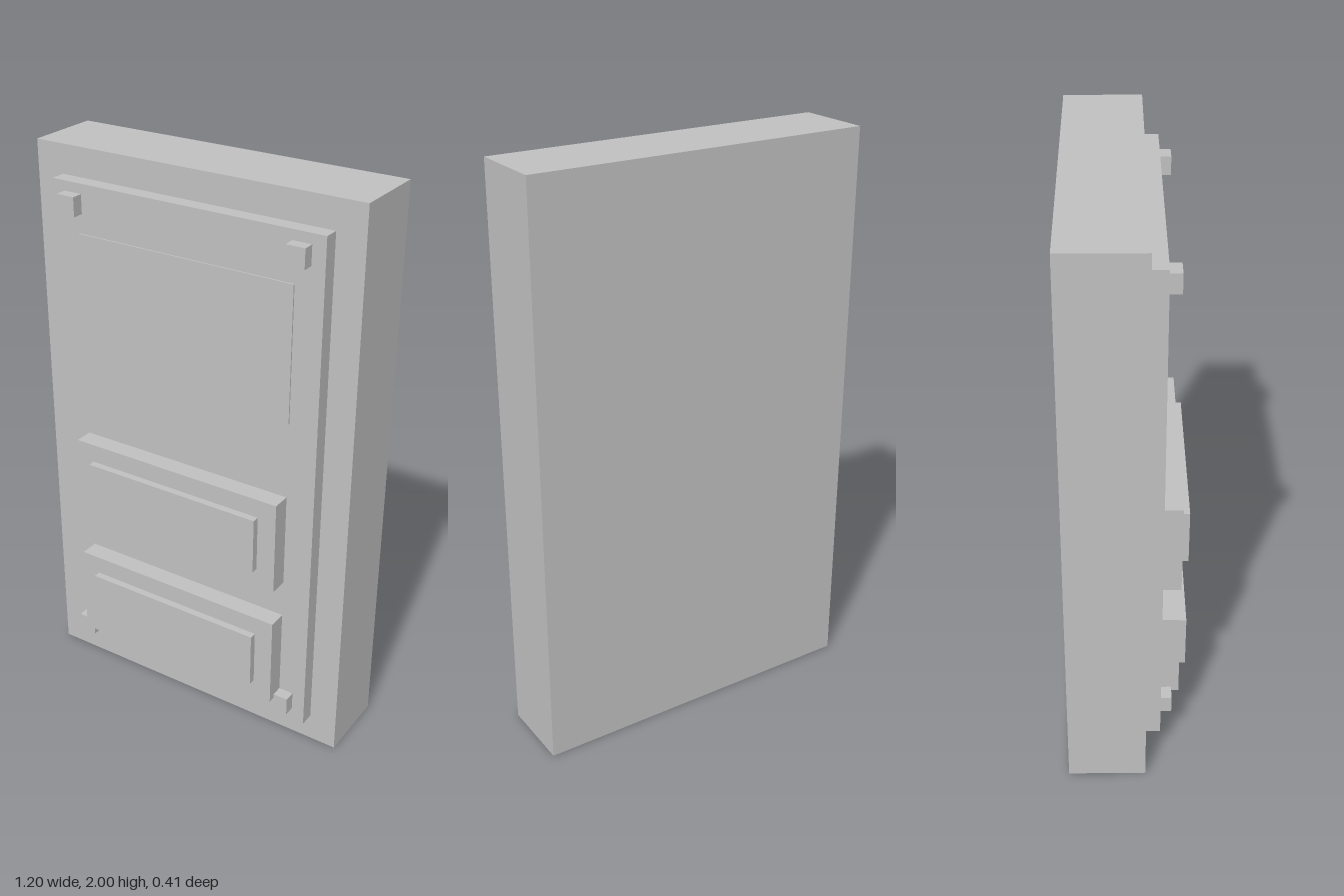
import * as THREE from 'three';

export function createModel() {
  const model = new THREE.Group();
  const grey = new THREE.MeshStandardMaterial({ color: 0xc0c0c0 });
  grey.name = 'light grey';

  // Box given by its lower and upper bounds on each axis
  function slab(name, [x0, x1], [y0, y1], [z0, z1]) {
    const mesh = new THREE.Mesh(new THREE.BoxGeometry(x1 - x0, y1 - y0, z1 - z0), grey);
    mesh.position.set((x0 + x1) / 2, (y0 + y1) / 2, (z0 + z1) / 2);
    mesh.name = name;
    model.add(mesh);
  }

  // Depth of each layer's front face
  const back = -0.205, bodyFront = 0.061, plateFront = 0.114;

  // Main slab and raised front plate
  slab('body', [-0.6, 0.6], [0, 2], [back, bodyFront]);
  slab('frontPlate', [-0.5, 0.5], [0.1, 1.9], [bodyFront, plateFront]);

  // Thin upper panel
  slab('upperPanel', [-0.4, 0.4], [1.267, 1.733], [plateFront, 0.119]);

  // Two lower panels, each with a smaller raised inset
  for (const [name, y] of [['lower', 0.2], ['middle', 0.667]]) {
    slab(name + 'Panel', [-0.4, 0.4], [y, y + 0.333], [plateFront, 0.18]);
    slab(name + 'PanelInset', [-0.333, 0.333], [y + 0.067, y + 0.267], [0.18, 0.205]);
  }

  // Corner bolts
  for (const [side, x] of [['left', 0.42], ['right', -0.42]]) {
    for (const [level, y] of [['Bottom', 0.15], ['Top', 1.8]]) {
      slab(side + level + 'Bolt', [x - 0.033, x + 0.033], [y, y + 0.066], [plateFront, 0.154]);
    }
  }

  return model;
}
